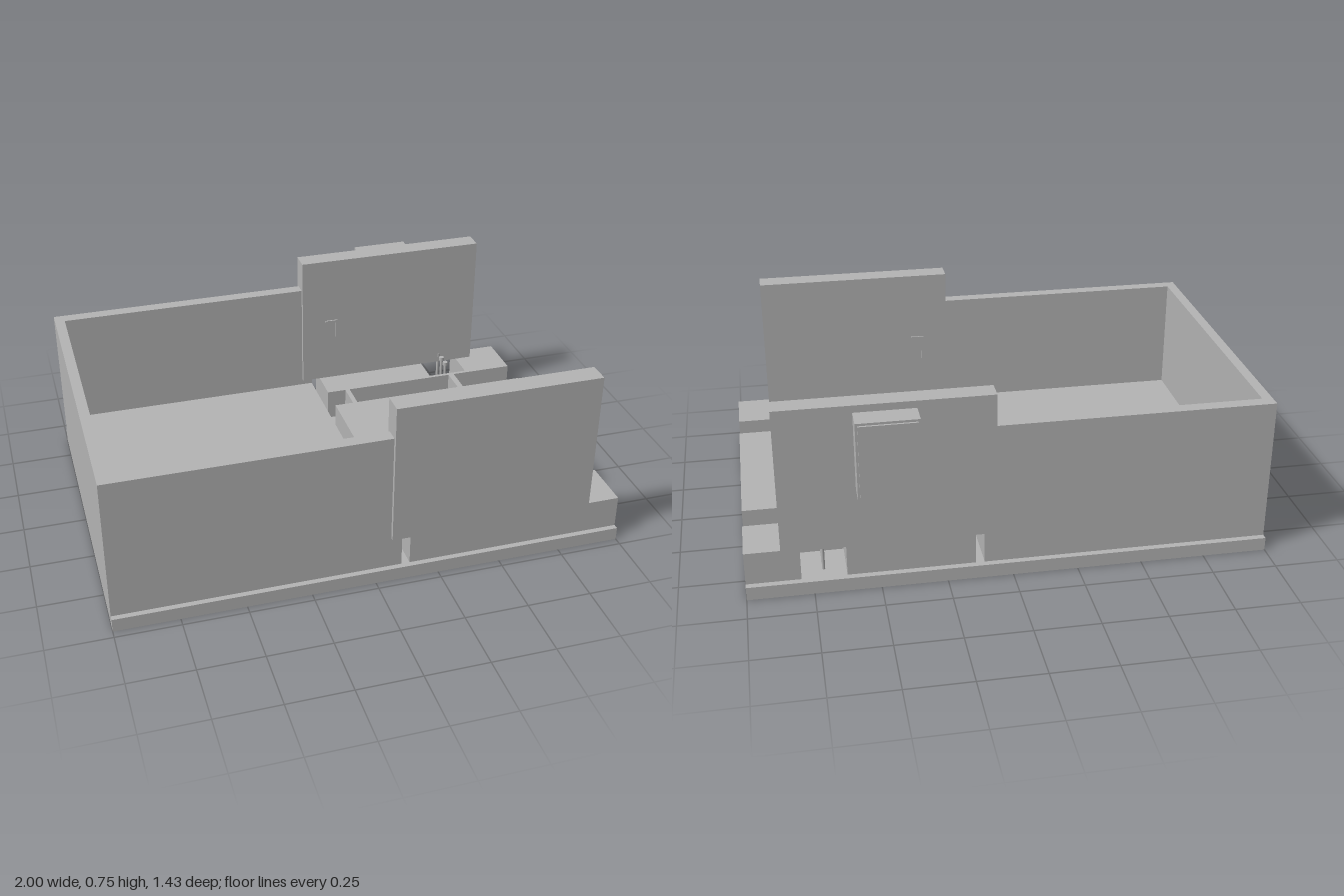
import * as THREE from 'three';

export function createModel() {
  const model = new THREE.Group();
  const grey = new THREE.MeshStandardMaterial({ color: 0xb3b3b3 });
  grey.name = 'plain grey';

  const add = (name, geometry, parent = model) => {
    const mesh = new THREE.Mesh(geometry, grey);
    mesh.name = name;
    parent.add(mesh);
    return mesh;
  };
  // Box given by its limits on each axis
  const box = (name, x0, x1, y0, y1, z0, z1, parent) => {
    const g = new THREE.BoxGeometry(x1 - x0, y1 - y0, z1 - z0);
    g.translate((x0 + x1) / 2, (y0 + y1) / 2, (z0 + z1) / 2);
    return add(name, g, parent);
  };
  // Plan outline in (x, z), raised from y0 to y1
  const toPlan = (pts) => pts.map(([x, z]) => new THREE.Vector2(x, -z));
  const raise = (name, outline, holes, y0, y1) => {
    const shape = new THREE.Shape(toPlan(outline));
    holes.forEach((h) => shape.holes.push(new THREE.Path(toPlan(h))));
    const g = new THREE.ExtrudeGeometry(shape, { depth: y1 - y0, bevelEnabled: false });
    g.rotateX(-Math.PI / 2).translate(0, y0, 0);
    return add(name, g);
  };

  const BASE = 0.053, DECK = 0.183, BACK = -0.605, FRONT = 0.695;

  box('basePlate', -1, 1, 0, BASE, -0.63, 0.717);

  // Open-ended tray: walls on three sides and a raised floor
  raise('trayWalls', [
    [-1, FRONT], [0.107, FRONT], [0.107, 0.645], [-0.96, 0.645],
    [-0.96, -0.555], [0.107, -0.555], [0.107, BACK], [-1, BACK],
  ], [], BASE, 0.623);
  box('trayFloor', -0.96, 0.107, BASE, 0.155, -0.555, 0.645);

  // Deck with end notches, closed channels and a rear pocket
  const channels = [[0.375, 0.49], [-0.405, -0.29]];
  const rightNotches = channels.flatMap(([a, b]) => [[1, b], [0.735, b], [0.735, a], [1, a]]);
  const leftNotches = [...channels].reverse()
    .flatMap(([a, b]) => [[0.14, a], [0.22, a], [0.22, b], [0.14, b]]);
  const wells = channels.map(([a, b]) => [[0.24, a], [0.24, b], [0.71, b], [0.71, a]]);
  raise('deck', [
    [0.14, FRONT], [1, FRONT], ...rightNotches, [1, BACK],
    [0.795, BACK], [0.795, -0.42], [0.625, -0.42], [0.625, BACK],
    [0.14, BACK], ...leftNotches,
  ], wells, BASE, DECK);

  // Small blocks inside the end notches
  [[0.4, 0.463], [-0.375, -0.312]].forEach(([a, b]) =>
    box('notchBlock', 0.735, 0.84, BASE, 0.12, a, b));

  // Pins standing in the rear pocket
  [-0.453, -0.5, -0.547].forEach((z) => {
    const pin = new THREE.Group();
    pin.name = 'pin';
    pin.position.set(0.71, 0, z);
    add('pinStem', new THREE.CylinderGeometry(0.006, 0.006, 0.16, 16), pin).position.y = BASE + 0.08;
    add('pinHead', new THREE.CylinderGeometry(0.011, 0.011, 0.015, 20), pin).position.y = 0.217;
    model.add(pin);
  });

  // Two upright side panels, each with an angled hook on its inner face
  box('frontPanel', 0.063, 0.865, DECK, 0.755, 0.627, 0.711);
  box('backPanel', 0.063, 0.865, DECK, 0.755, -0.619, -0.538);
  const hook = (name, z0, z1, stemX) => {
    const g = new THREE.Group();
    g.name = name;
    box('hookTop', 0.165, 0.22, 0.46, 0.47, z0, z1, g);
    box('hookStem', stemX, stemX + 0.01, 0.34, 0.46, z0, z1, g);
    model.add(g);
  };
  hook('frontHook', 0.621, 0.627, 0.165);
  hook('backHook', -0.538, -0.532, 0.21);

  // Case on the outside of the back panel, with a thin cover
  box('backCase', 0.35, 0.58, 0.42, 0.727, -0.709, -0.619);
  box('backCaseCover', 0.358, 0.572, 0.43, 0.718, -0.717, -0.709);

  return model;
}
